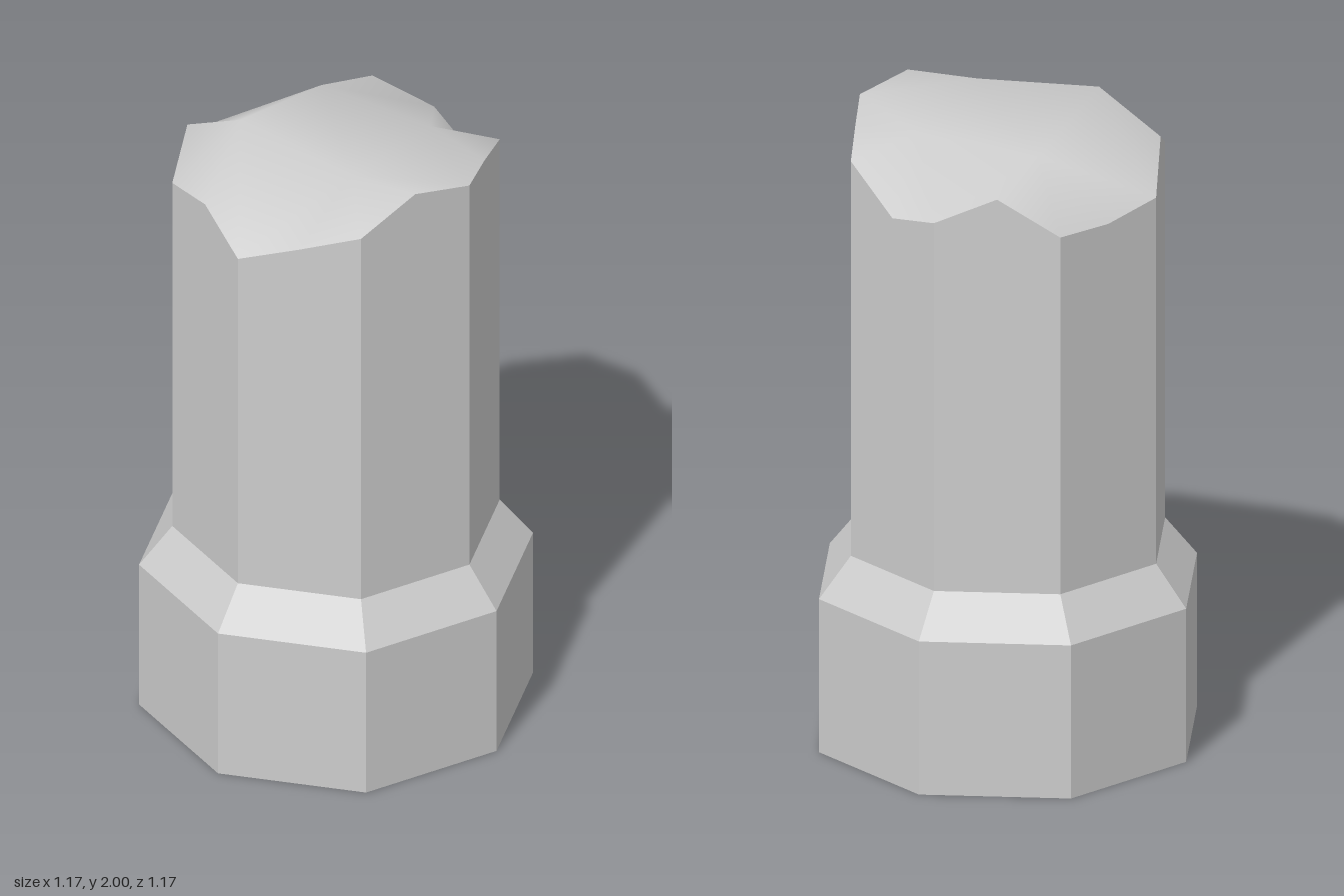
import * as THREE from 'three';

const FOOT_R = 0.587, SHAFT_R = 0.488, FOOT_H = 0.485, SHAFT_Y = 0.61;

// Heights of the broken rim, counted from +x towards +z: corner, three points, corner...
const RIM = [1.925, 1.955, 1.86, 1.795, 1.735, 1.825, 1.8, 1.89,
  1.77, 1.735, 1.74, 1.855, 1.775, 1.735, 1.86, 1.9];
// Heights of the four inner points of the break, one per quadrant
const INNER = [1.955, 2.0, 1.92, 1.925];

// Point k of 16 around the octagon; odd points lie on the sides
function rimPoint(k, y) {
  const a = (k % 16) * Math.PI / 8;
  const r = k % 2 ? SHAFT_R * Math.cos(Math.PI / 8) : SHAFT_R;
  return [r * Math.cos(a), y, r * Math.sin(a)];
}

function geometryFrom(points, index) {
  const g = new THREE.BufferGeometry();
  g.setAttribute('position', new THREE.Float32BufferAttribute(points.flat(), 3));
  g.setIndex(index);
  g.computeVertexNormals();
  return g;
}

function shaftGeometry() {
  const points = [], index = [];
  for (let k = 0; k < 16; k++) {
    points.push(rimPoint(k, SHAFT_Y), rimPoint(k, RIM[k]));
    const a = 2 * k, b = 2 * ((k + 1) % 16);
    index.push(a, a + 1, b + 1, a, b + 1, b);
  }
  return geometryFrom(points, index);
}

function breakGeometry() {
  const points = RIM.map((y, k) => rimPoint(k, y));
  const signs = [[1, 1], [-1, 1], [-1, -1], [1, -1]];
  signs.forEach(([x, z], q) => points.push([0.2 * x, INNER[q], 0.2 * z]));
  const index = [];
  // Fan each quadrant of the rim to its inner point
  for (let k = 0; k < 16; k++) index.push(16 + Math.floor(k / 4), (k + 1) % 16, k);
  // Fill the gaps between neighbouring fans, then the middle
  for (let q = 0; q < 4; q++) index.push(4 * q, 16 + (q + 3) % 4, 16 + q);
  index.push(16, 18, 17, 16, 19, 18);
  return geometryFrom(points, index);
}

export function createModel() {
  const group = new THREE.Group();
  group.name = 'brokenColumn';
  const flat = new THREE.MeshStandardMaterial({ color: 0xcccccc, flatShading: true });
  const smooth = new THREE.MeshStandardMaterial({ color: 0xcccccc });

  const add = (name, geometry, material, y = 0) => {
    const mesh = new THREE.Mesh(geometry, material);
    mesh.name = name;
    mesh.position.y = y;
    group.add(mesh);
  };

  // Octagonal foot with its underside
  add('foot', new THREE.CylinderGeometry(FOOT_R, FOOT_R, FOOT_H, 8, 1, true), flat, FOOT_H / 2);
  add('footUnderside', new THREE.CircleGeometry(FOOT_R, 8).rotateX(Math.PI / 2), flat);

  // Sloped collar between foot and shaft
  add('collar', new THREE.CylinderGeometry(SHAFT_R, FOOT_R, SHAFT_Y - FOOT_H, 8, 1, true),
    flat, (SHAFT_Y + FOOT_H) / 2);

  // Shaft sides up to the jagged rim, and the rough broken top
  add('shaft', shaftGeometry(), flat);
  add('brokenTop', breakGeometry(), smooth);

  return group;
}
